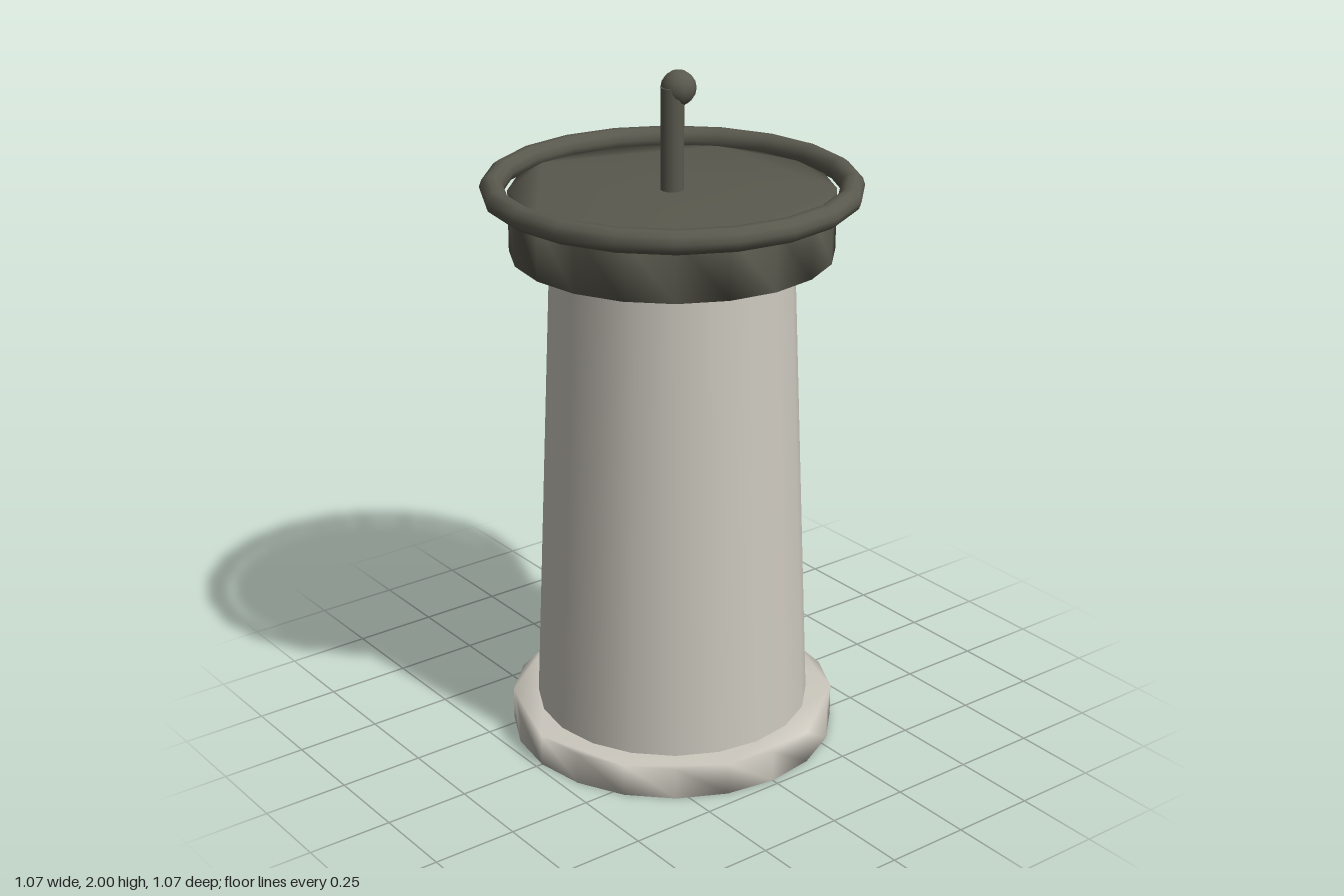
import * as THREE from 'three';
import { mergeVertices } from 'three/addons/utils/BufferGeometryUtils.js';

const SIDES = 20;
const stone = new THREE.MeshStandardMaterial({ color: 0xccc8be });
const metal = new THREE.MeshStandardMaterial({ color: 0x5a594e });

// Solid 20-sided disc standing on y = 0, with normals softened over its rims
function softDrum(radius, height) {
  const points = [];
  for (let i = 0; i < SIDES; i++) {
    const a = (i / SIDES) * Math.PI * 2;
    points.push(new THREE.Vector2(Math.cos(a) * radius, Math.sin(a) * radius));
  }
  let geo = new THREE.ExtrudeGeometry(new THREE.Shape(points), { depth: height, bevelEnabled: false });
  geo.rotateX(-Math.PI / 2);
  geo.deleteAttribute('uv');
  geo.deleteAttribute('normal');
  geo = mergeVertices(geo, 1e-4);
  geo.computeVertexNormals();
  return geo;
}

export function createModel() {
  const group = new THREE.Group();
  const add = (name, geo, material, x, y) => {
    const mesh = new THREE.Mesh(geo, material);
    mesh.name = name;
    mesh.position.set(x, y, 0);
    group.add(mesh);
    return mesh;
  };

  // Pedestal: foot, tapered column and collar
  add('foot', softDrum(0.48, 0.095), stone, 0, 0);
  add('column', new THREE.CylinderGeometry(0.345, 0.405, 1.41, SIDES), stone, 0, 0.785);
  add('collar', new THREE.CylinderGeometry(0.402, 0.383, 0.027, SIDES), stone, 0, 1.4775);

  // Basin with a floating ring rim around it
  add('basin', softDrum(0.458, 0.175), metal, 0, 1.49);
  const rim = add('rim', new THREE.TorusGeometry(0.502, 0.034, 10, SIDES), metal, 0, 1.675);
  rim.rotation.x = Math.PI / 2;

  // Spout pipe with a ball outlet
  add('spoutPipe', new THREE.CylinderGeometry(0.033, 0.033, 0.3, 12), metal, 0, 1.805);
  add('spoutBall', new THREE.SphereGeometry(0.05, 10, 8), metal, 0.021, 1.95);

  return group;
}
